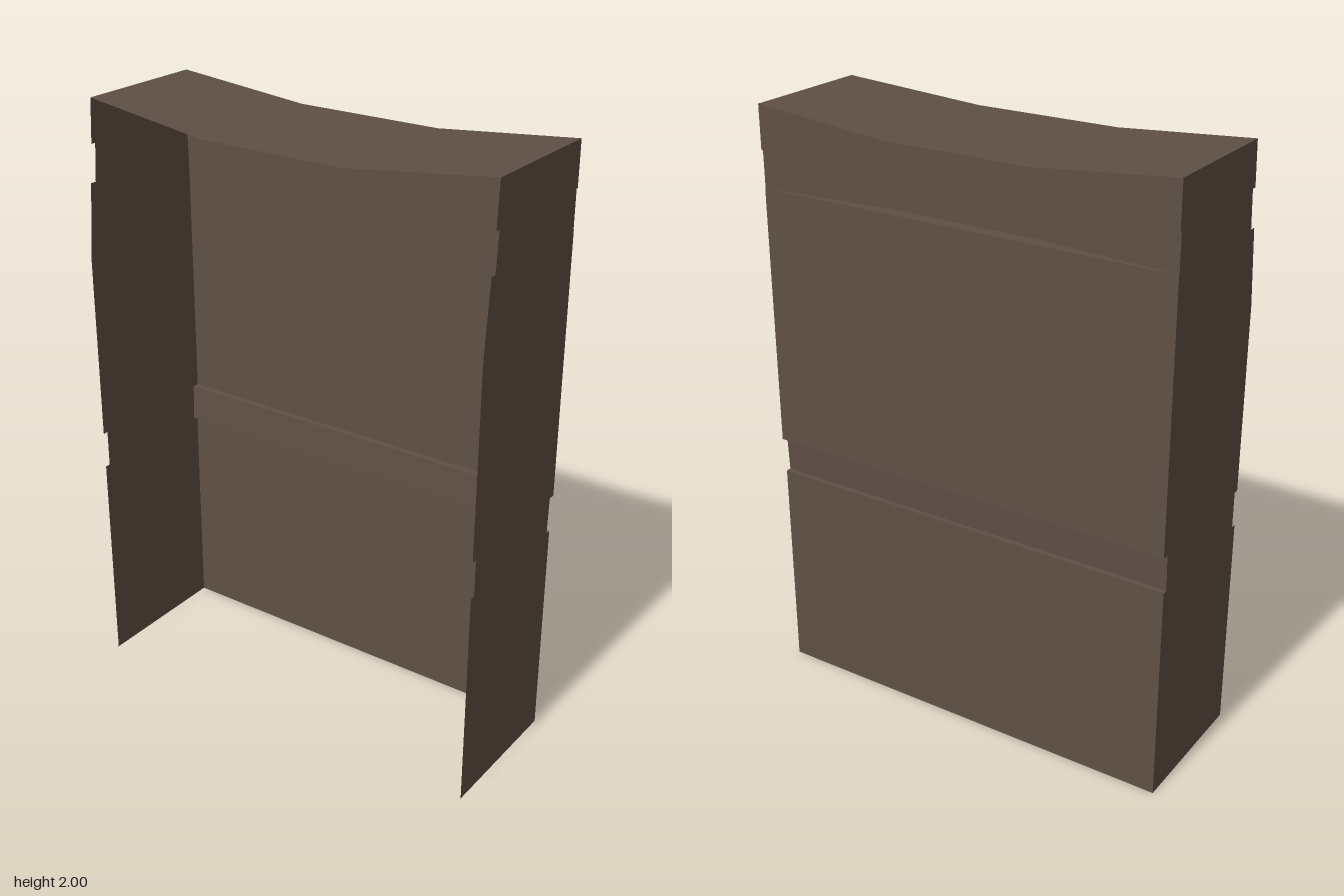
import * as THREE from 'three';

const END = 0.72;                       // half length along z
const MID = 0.25;                       // where the bent strips go flat
const STATIONS = [-END, -MID, MID, END];
const SAG = 0.045, BOW = 0.042;         // top dip and sideways bow in the middle

// Side profile [x, y], bottom to top; bow pushes the upper groove inward
const outerProfile = (bow, sag) => [
  [0.235, 0], [0.235, 0.738], [0.217, 0.738], [0.222, 0.862], [0.245, 0.862],
  [0.245, 1.733], [0.243 - bow, 1.733], [0.243 - bow, 1.856], [0.25, 1.856], [0.25, 2 - sag],
];

// Free edge of the end panels, top to bottom
const innerProfile = [
  [-0.208, 2], [-0.217, 1.856], [-0.2, 1.856], [-0.209, 1.733], [-0.23, 1.733],
  [-0.252, 1.485], [-0.252, 0.862], [-0.234, 0.862], [-0.234, 0.738], [-0.252, 0.738], [-0.252, 0],
];

// Faceted sheet through rows of points
function sheet(rows) {
  const pos = [];
  for (let i = 0; i < rows.length - 1; i++) {
    for (let j = 0; j < rows[i].length - 1; j++) {
      const a = rows[i][j], b = rows[i][j + 1], c = rows[i + 1][j + 1], d = rows[i + 1][j];
      pos.push(...a, ...b, ...c, ...a, ...c, ...d);
    }
  }
  const g = new THREE.BufferGeometry();
  g.setAttribute('position', new THREE.Float32BufferAttribute(pos, 3));
  g.computeVertexNormals();
  return g;
}

export function createModel() {
  const group = new THREE.Group();
  const brown = new THREE.MeshStandardMaterial({ color: 0x605046, side: THREE.DoubleSide, flatShading: true });
  brown.name = 'brown';

  const add = (name, geometry) => {
    const mesh = new THREE.Mesh(geometry, brown);
    mesh.name = name;
    group.add(mesh);
    return mesh;
  };
  const middle = (z) => (Math.abs(z) < END ? 1 : 0);

  // Long wall with two grooves
  add('groovedWall', sheet(STATIONS.map((z) =>
    outerProfile(BOW * middle(z), SAG * middle(z)).map(([x, y]) => [x, y, z]))));

  // Dipped top
  add('top', sheet(STATIONS.map((z) => {
    const y = 2 - SAG * middle(z);
    return [[0.25, y, z], [-0.208 - 0.044 * middle(z), y, z]];
  })));

  // Matching end panels
  const outline = [...outerProfile(0, 0), ...innerProfile].map(([x, y]) => new THREE.Vector2(x, y));
  const panel = new THREE.ShapeGeometry(new THREE.Shape(outline)).translate(0, 0, END);
  add('frontPanel', panel);
  add('backPanel', panel).scale.z = -1;

  return group;
}
